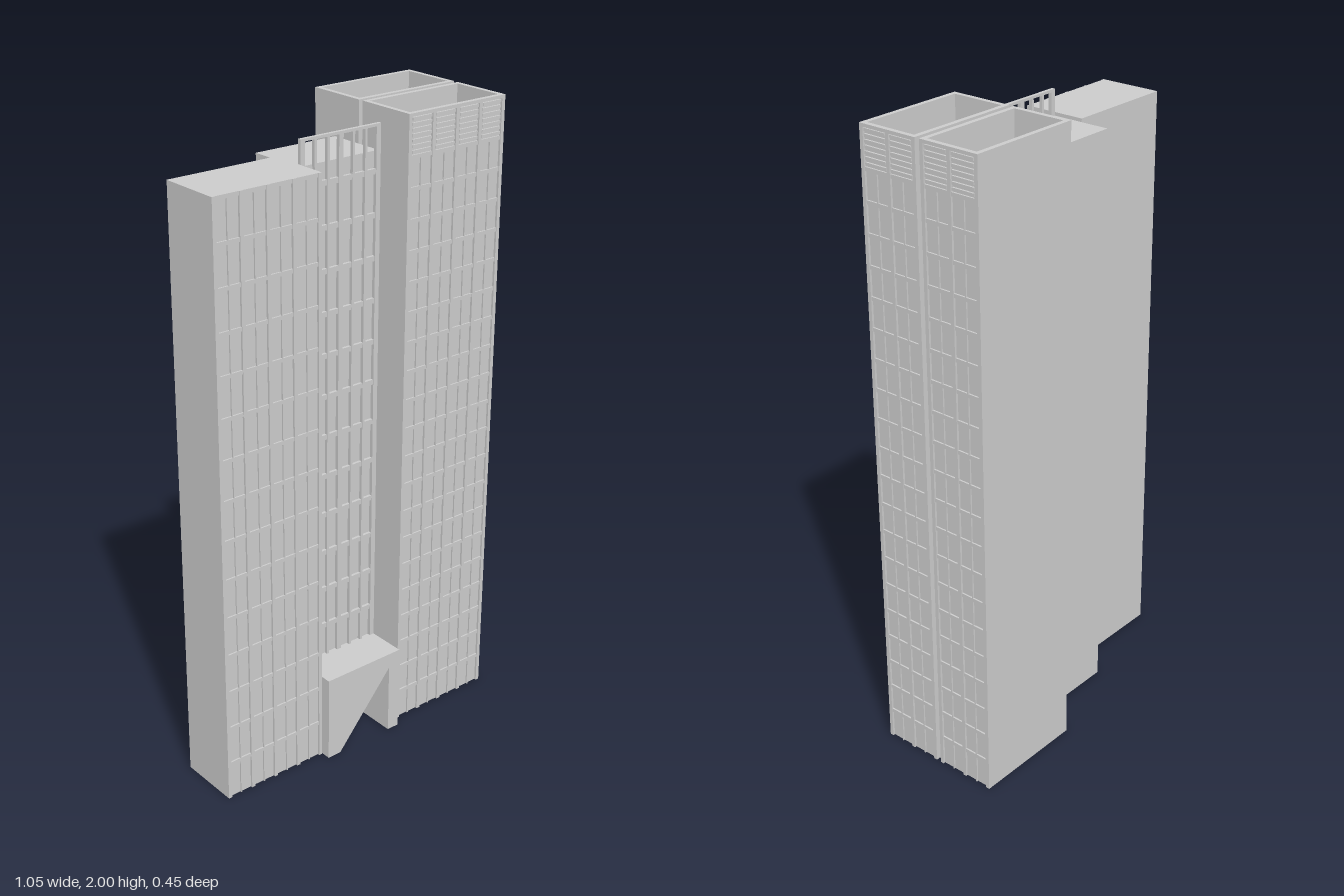
import * as THREE from 'three';
import { mergeGeometries } from 'three/addons/utils/BufferGeometryUtils.js';

const material = new THREE.MeshStandardMaterial({ color: 0xcccccc, flatShading: true });
const RELIEF = 0.007; // how far piers stand out from the glass

// Box given by its lower and upper bounds
function block(x0, x1, y0, y1, z0, z1) {
  return new THREE.BoxGeometry(x1 - x0, y1 - y0, z1 - z0)
    .translate((x0 + x1) / 2, (y0 + y1) / 2, (z0 + z1) / 2);
}

function part(name, ...geometries) {
  const mesh = new THREE.Mesh(mergeGeometries(geometries.map((g) => g.toNonIndexed())), material);
  mesh.name = name;
  return mesh;
}

// Relief of one facade: x from 0 to width, glass plane at z = 0, facing +z
function facade(name, { width, height, bays, floor, louvreBase }) {
  const group = new THREE.Group();
  group.name = name;
  const pier = 0.012;
  const step = (width - pier) / bays;
  const top = louvreBase ?? height;
  const piers = [], mullions = [], spandrels = [], louvres = [];
  for (let i = 0; i <= bays; i++) piers.push(block(i * step, i * step + pier, 0, height, 0, RELIEF));
  for (let i = 0; i < bays; i++) {
    const a = i * step + pier, b = (i + 1) * step, mid = (a + b) / 2;
    mullions.push(block(mid - 0.002, mid + 0.002, 0, top, 0, 0.005));
    for (let y = top; y > 0.02; y -= floor) {
      spandrels.push(block(a, b, y - 0.012, y, 0, 0.005));
    }
    // Slatted vents above the top floor
    if (louvreBase !== undefined) {
      louvres.push(block(a, b, height - 0.01, height, 0, RELIEF));
      const pitch = (height - 0.01 - top) / 7;
      for (let k = 0; k < 7; k++) {
        const y = top + (k + 0.3) * pitch;
        louvres.push(block(a + 0.003, b - 0.003, y, y + pitch * 0.55, 0, 0.006));
      }
    }
  }
  group.add(part('piers', ...piers), part('mullions', ...mullions), part('spandrels', ...spandrels));
  if (louvres.length) group.add(part('louvres', ...louvres));
  return group;
}

// Tall tower: solid shaft, open parapet box on top, relief on the +x side
function tallTower(name, z0, z1, frontFacade) {
  const group = new THREE.Group();
  group.name = name;
  const x0 = 0.152, x1 = 0.523, roof = 1.88, height = 2, wall = 0.015;
  const gx = x1 - RELIEF, gz = frontFacade ? z1 - RELIEF : z1;
  group.add(part('shaft', block(x0, gx, 0, roof, z0, gz)));
  group.add(part('parapet',
    block(x0, x0 + wall, roof, height, z0, gz),
    block(x1 - wall, gx, roof, height, z0, gz),
    block(x0 + wall, x1 - wall, roof, height, z0, z0 + wall),
    block(x0 + wall, x1 - wall, roof, height, z1 - wall, gz)));
  const side = facade('sideFacade', { width: z1 - z0, height, bays: 2, floor: 0.0935, louvreBase: roof });
  side.rotation.y = Math.PI / 2;
  side.position.set(gx, 0, z1);
  group.add(side);
  if (frontFacade) {
    const front = facade('frontFacade', { width: x1 - x0, height, bays: 4, floor: 0.0935, louvreBase: roof });
    front.position.set(x0, 0, gz);
    group.add(front);
  }
  return group;
}

function lowTower() {
  const group = new THREE.Group();
  group.name = 'lowTower';
  const x0 = -0.523, x1 = -0.159, height = 1.89, z1 = 0.192;
  group.add(part('shaft', block(x0, x1, 0, height, -0.013, z1 - RELIEF)));
  const front = facade('frontFacade', { width: x1 - x0, height, bays: 4, floor: 0.126 });
  front.position.set(x0, 0, z1 - RELIEF);
  group.add(front);
  return group;
}

function middleBlock() {
  const group = new THREE.Group();
  group.name = 'middleBlock';
  const x0 = -0.157, x1 = 0.132, roof = 1.88, height = 1.96, z0 = 0.085, z1 = 0.096;
  group.add(part('shaft', block(x0, x1, 0, roof, -0.108, z0)));

  // Free-standing lattice that rises above the roof
  const bays = 6, edge = 0.016;
  const step = (x1 - x0 - edge) / bays;
  const posts = [], rails = [];
  for (let i = 0; i <= bays; i++) {
    const c = x0 + edge / 2 + i * step;
    const half = i === 0 || i === bays ? edge / 2 : i === bays / 2 ? 0.008 : 0.004;
    posts.push(block(c - half, c + half, 0, height, z0, z1));
  }
  for (let y = 1.83; y > 0.25; y -= 0.13) rails.push(block(x0, x1, y - 0.016, y, z0, z1 - 0.002));
  rails.push(block(x0, x1, height - 0.008, height, z0, z1));
  group.add(part('latticePosts', ...posts), part('latticeRails', ...rails));

  // Entrance porch with a triangular opening
  const outline = new THREE.Shape([
    [x0, 0], [-0.11, 0], [0.09, 0.235], [0.09, 0], [x1, 0], [x1, 0.285], [x0, 0.285],
  ].map(([x, y]) => new THREE.Vector2(x, y)));
  const porch = new THREE.ExtrudeGeometry(outline, { depth: 0.222 - z0, bevelEnabled: false });
  const mesh = new THREE.Mesh(porch.translate(0, 0, z0), material);
  mesh.name = 'entrancePorch';
  group.add(mesh);
  return group;
}

export function createModel() {
  const model = new THREE.Group();
  model.name = 'officeTowers';
  model.add(
    lowTower(),
    middleBlock(),
    tallTower('frontTallTower', -0.009, 0.192, true),
    tallTower('backTallTower', -0.225, -0.025, false),
  );
  return model;
}
